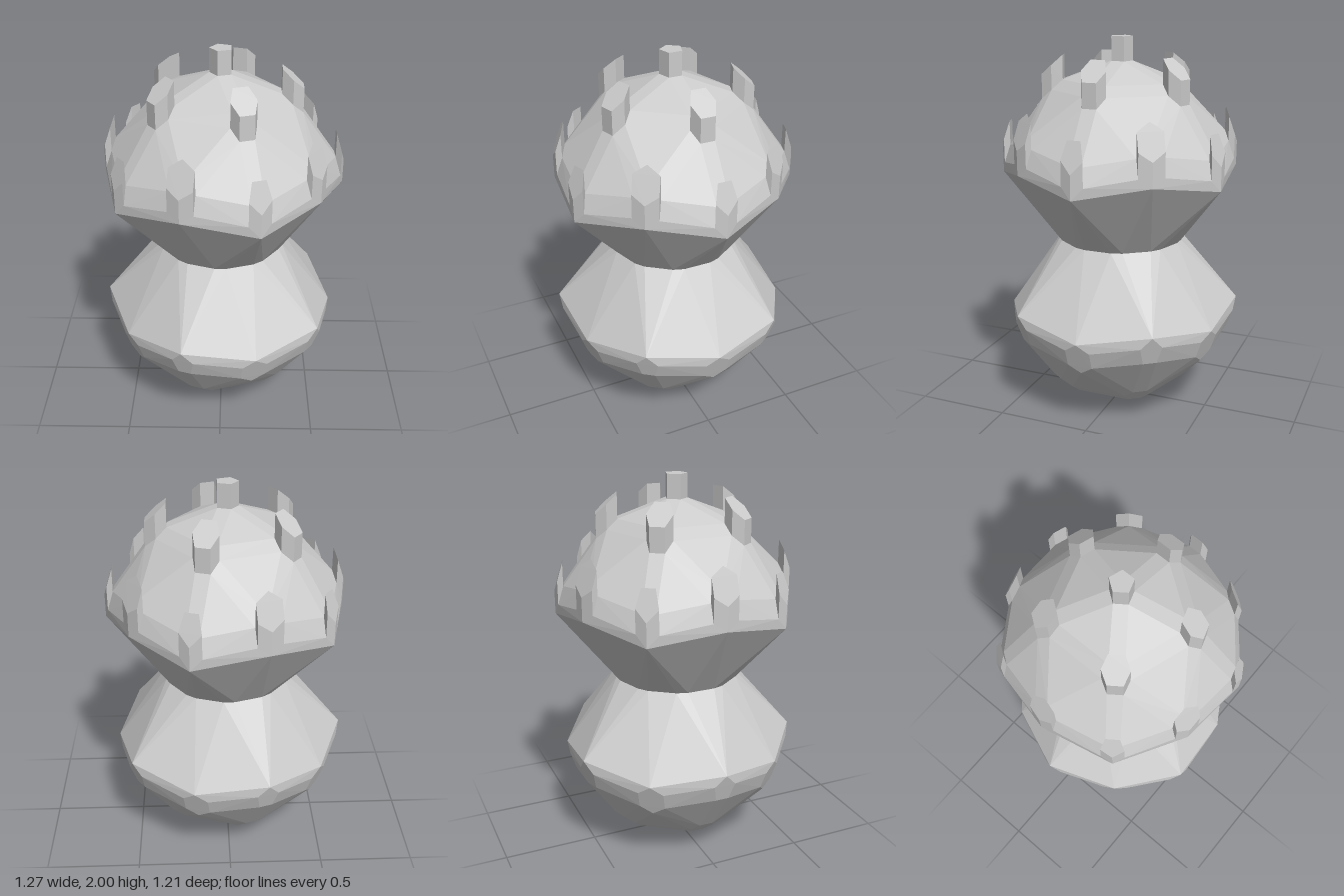
import * as THREE from 'three';
import { ConvexGeometry } from 'three/addons/geometries/ConvexGeometry.js';

const MID = 0.9375;   // height of the waist
const POST = 0.125;   // post height

// Facet outlines as [radial, height, sideways], facing +x, heights above the waist
const pair = (r, y, w) => [[r, y, w], [r, y, -w]];
const crownHex = [...pair(0.30, 0.842, 0.038), ...pair(0.355, 0.793, 0.066), ...pair(0.41, 0.744, 0.038)];
const rimPentagon = [...pair(0.587, 0.498, 0.035), ...pair(0.616, 0.405, 0.057), [0.635, 0.343, 0]];
const rimHex = [[0.543, 0.584, 0], ...pair(0.559, 0.54, 0.066), ...pair(0.591, 0.448, 0.066), [0.607, 0.403, 0]];
const waistHex = [[0.332, 0.016, 0], ...pair(0.333, 0.008, 0.03), ...pair(0.333, 0, 0.03)];

function turned(outline, degrees) {
  const up = new THREE.Vector3(0, 1, 0);
  return outline.map((p) => new THREE.Vector3(...p).applyAxisAngle(up, THREE.MathUtils.degToRad(degrees)));
}

export function createModel() {
  const model = new THREE.Group();
  const material = new THREE.MeshStandardMaterial({ color: 0xcccccc, flatShading: true });
  const add = (name, points) => {
    const mesh = new THREE.Mesh(new ConvexGeometry(points), material);
    mesh.name = name;
    mesh.position.y = MID;
    model.add(mesh);
    return mesh;
  };

  // Facets spread in five-fold rings over the dome
  const topPentagon = [];
  for (let i = 0; i < 5; i++) {
    const a = Math.PI + (i * Math.PI * 2) / 5;
    topPentagon.push(new THREE.Vector3(0.06 * Math.cos(a), MID, 0.06 * Math.sin(a)));
  }
  const facets = [topPentagon];
  for (let i = 0; i < 5; i++) {
    facets.push(turned(crownHex, i * 72), turned(rimPentagon, i * 72), turned(rimHex, i * 72 + 36));
  }

  // Faceted bulbs meeting at the waist, the lower one upside down
  const waist = [];
  for (let i = 0; i < 10; i++) waist.push(...turned(waistHex, 18 + i * 36));
  const bulb = [...facets.flat(), ...waist];
  add('upperBulb', bulb);
  add('lowerBulb', bulb).rotation.z = Math.PI;

  // Upright posts raised from every upper facet
  for (const facet of facets) {
    const raised = facet.map((p) => p.clone().setY(p.y + POST));
    add('post', [...facet, ...raised]);
  }
  return model;
}
